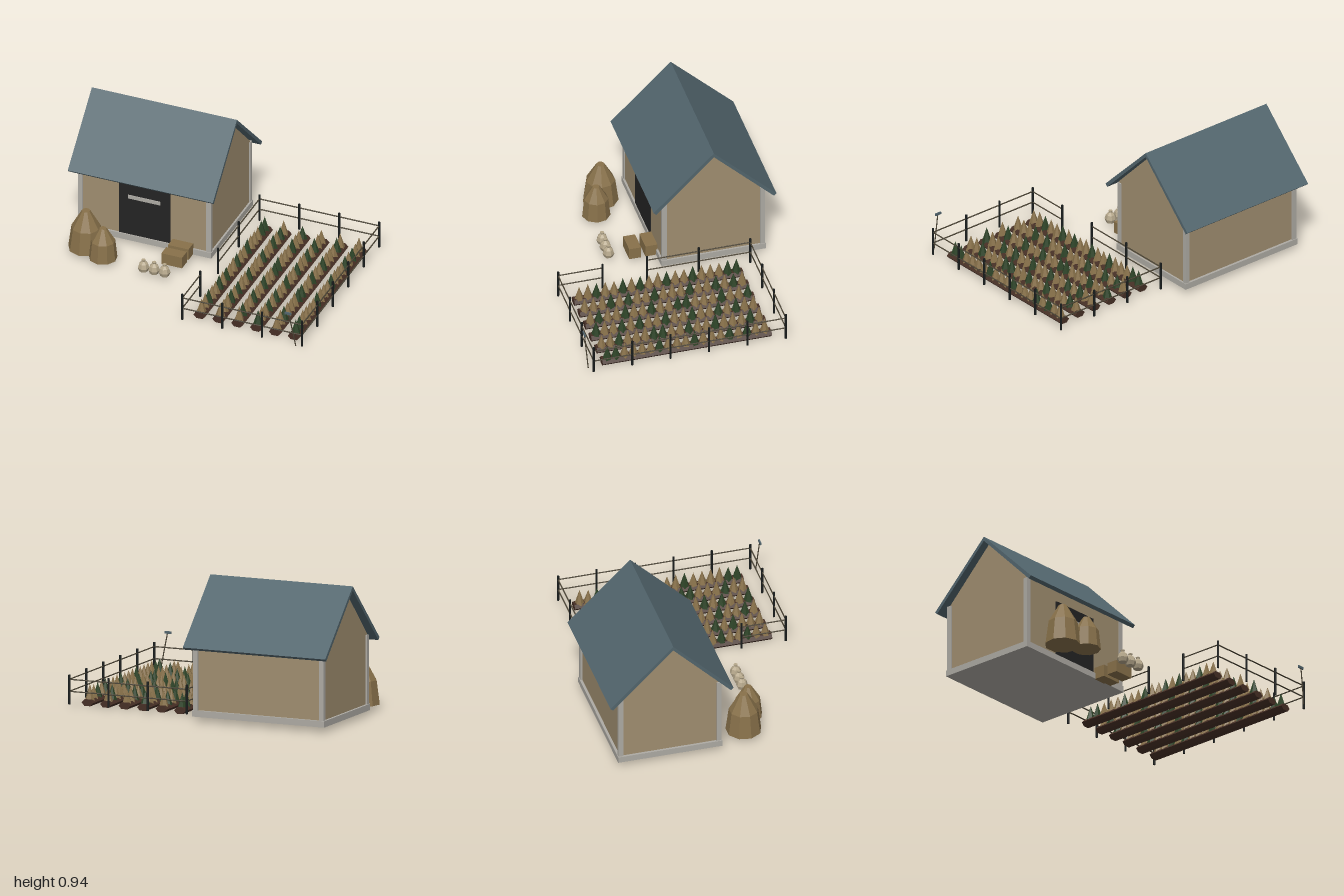
import * as THREE from 'three';

const paint = (name, color) => new THREE.MeshStandardMaterial({ name, color, flatShading: true });
const wallTan = paint('wall tan', 0xa08e70);
const roofSlate = paint('roof slate', 0x52656d);
const trimGrey = paint('trim grey', 0xaeaba4);
const doorBlack = paint('door black', 0x242424);
const hayBrown = paint('hay brown', 0x88714a);
const sackCream = paint('sack cream', 0xb5a78b);
const soilBrown = paint('soil brown', 0x462f25);
const leafGreen = paint('leaf green', 0x2c4226);
const postBlack = paint('post black', 0x181c1c);
const railBrown = paint('rail brown', 0x4a4334);

function add(parent, name, geometry, material, x = 0, y = 0, z = 0) {
  const mesh = new THREE.Mesh(geometry, material);
  mesh.name = name;
  mesh.position.set(x, y, z);
  parent.add(mesh);
  return mesh;
}

// Box given by its limits on each axis
function box(parent, name, material, [x0, x1], [y0, y1], [z0, z1]) {
  return add(parent, name, new THREE.BoxGeometry(x1 - x0, y1 - y0, z1 - z0), material,
    (x0 + x1) / 2, (y0 + y1) / 2, (z0 + z1) / 2);
}

// Profile of [z, y] points extruded along x
function prism(parent, name, material, points, x0, x1) {
  const shape = new THREE.Shape(points.map(([z, y]) => new THREE.Vector2(-z, y)));
  const geometry = new THREE.ExtrudeGeometry(shape, { depth: x1 - x0, bevelEnabled: false });
  geometry.rotateY(Math.PI / 2);
  return add(parent, name, geometry, material, x0);
}

// Thin round bar between two points
function bar(parent, name, material, a, b, radius) {
  const from = new THREE.Vector3(...a), to = new THREE.Vector3(...b);
  const dir = to.clone().sub(from);
  const mesh = add(parent, name, new THREE.CylinderGeometry(radius, radius, dir.length(), 6), material);
  mesh.position.copy(from).add(to).multiplyScalar(0.5);
  mesh.quaternion.setFromUnitVectors(new THREE.Vector3(0, 1, 0), dir.normalize());
  return mesh;
}

function lathe(parent, name, material, profile, sides, x, z) {
  const points = profile.map(([r, y]) => new THREE.Vector2(r, y));
  return add(parent, name, new THREE.LatheGeometry(points, sides), material, x, 0, z);
}

function group(parent, name) {
  const g = new THREE.Group();
  g.name = name;
  parent.add(g);
  return g;
}

function buildBarn(root) {
  const barn = group(root, 'barn');
  prism(barn, 'gabledWalls', wallTan,
    [[-0.02, 0.06], [-0.02, 0.56], [-0.36, 0.905], [-0.715, 0.55], [-0.715, 0.06]], -0.945, 0.003);
  prism(barn, 'roof', roofSlate,
    [[0.06, 0.525], [-0.36, 0.94], [-0.797, 0.513], [-0.779, 0.497], [-0.36, 0.91], [0.042, 0.507]], -1, 0.055);
  box(barn, 'foundation', trimGrey, [-0.962, 0.016], [0.035, 0.078], [-0.733, -0.006]);
  for (const x of [-0.955, -0.023])
    for (const z of [-0.728, -0.044])
      box(barn, 'cornerPost', trimGrey, [x, x + 0.034], [0.07, 0.55], [z, z + 0.032]);
  box(barn, 'door', doorBlack, [-0.658, -0.285], [0.08, 0.475], [-0.022, -0.012]);
  box(barn, 'doorBar', trimGrey, [-0.59, -0.356], [0.366, 0.392], [-0.013, -0.005]);
}

function buildYard(root) {
  const yard = group(root, 'yard');
  // Haystacks
  lathe(yard, 'largeHaystack', hayBrown,
    [[0, 0.035], [0.122, 0.035], [0.1, 0.2], [0.028, 0.327], [0, 0.327]], 9, -0.815, 0.183);
  lathe(yard, 'smallHaystack', hayBrown,
    [[0, 0.035], [0.097, 0.035], [0.083, 0.17], [0.024, 0.268], [0, 0.268]], 9, -0.66, 0.258);
  // Tied sacks
  for (const x of [-0.346, -0.269, -0.193])
    lathe(yard, 'sack', sackCream,
      [[0, 0.035], [0.03, 0.035], [0.04, 0.062], [0.031, 0.092], [0.011, 0.11], [0.015, 0.122], [0, 0.122]], 7, x, 0.305);
  // Crates
  for (const z of [-0.015, 0.098])
    box(yard, 'crate', hayBrown, [-0.268, -0.118], [0.035, 0.118], [z, z + 0.083]);
}

function buildField(root) {
  const field = group(root, 'field');
  const rows = [ // G marks a green plant, front to back
    '..G..G.G..G..G...GG', '...G.G..G...G..G.G.', '.G..G..G..GG...G..G',
    'G..G.G..G..G..G.G..', '..G...GG..G..G...G.', 'GG....G...G...G.G..'];
  const bedEnd = [[0.042, 0], [0.022, 0.022], [-0.022, 0.022], [-0.042, 0], [-0.022, -0.022], [0.022, -0.022]];
  const bedShape = new THREE.Shape(bedEnd.map(([x, y]) => new THREE.Vector2(x, y)));
  const bed = new THREE.ExtrudeGeometry(bedShape, { depth: 1.18, bevelEnabled: false });
  const plant = new THREE.ConeGeometry(0.034, 1, 6);
  rows.forEach((row, i) => {
    const x = 0.21 + i * 0.137;
    add(field, 'soilBed', bed, soilBrown, x, 0.023, -0.515);
    [...row].forEach((kind, j) => {
      const height = 0.1 + 0.012 * ((i * 5 + j * 7) % 4) / 3;
      const cone = add(field, 'plant', plant, kind === 'G' ? leafGreen : hayBrown,
        x, 0.035 + height / 2, 0.625 - j * 0.061);
      cone.scale.y = height;
      cone.rotation.y = i * 1.7 + j * 2.3;
    });
  });
}

function buildFence(root) {
  const fence = group(root, 'fence');
  const [west, east, north, south] = [0.12, 0.99, -0.595, 0.745];
  const across = [west, 0.41, 0.70, east];
  const rightSide = [north, -0.327, -0.059, 0.209, 0.477, south];
  const runs = [
    across.map(x => [x, north]), across.map(x => [x, south]),
    rightSide.map(z => [east, z]),
    [north, -0.235, 0.125].map(z => [west, z]), [0.435, south].map(z => [west, z])];
  const placed = new Set();
  const post = new THREE.CylinderGeometry(0.008, 0.008, 0.2, 6);
  for (const run of runs) {
    for (const [x, z] of run) {
      if (placed.has(x + ',' + z)) continue;
      placed.add(x + ',' + z);
      add(fence, 'fencePost', post, postBlack, x, 0.12, z);
    }
    const [a, b] = [run[0], run[run.length - 1]];
    for (const y of [0.108, 0.19])
      bar(fence, 'fenceRail', railBrown, [a[0], y, a[1]], [b[0], y, b[1]], 0.0045);
  }
}

function buildHoe(root) {
  const hoe = group(root, 'hoe');
  bar(hoe, 'hoeHandle', railBrown, [0.957, 0.033, 0.774], [0.912, 0.285, 0.788], 0.004);
  box(hoe, 'hoeHead', roofSlate, [0.885, 0.932], [0.276, 0.293], [0.784, 0.793]);
}

export function createModel() {
  const model = new THREE.Group();
  model.name = 'farmstead';
  buildBarn(model);
  buildYard(model);
  buildField(model);
  buildFence(model);
  buildHoe(model);
  return model;
}
